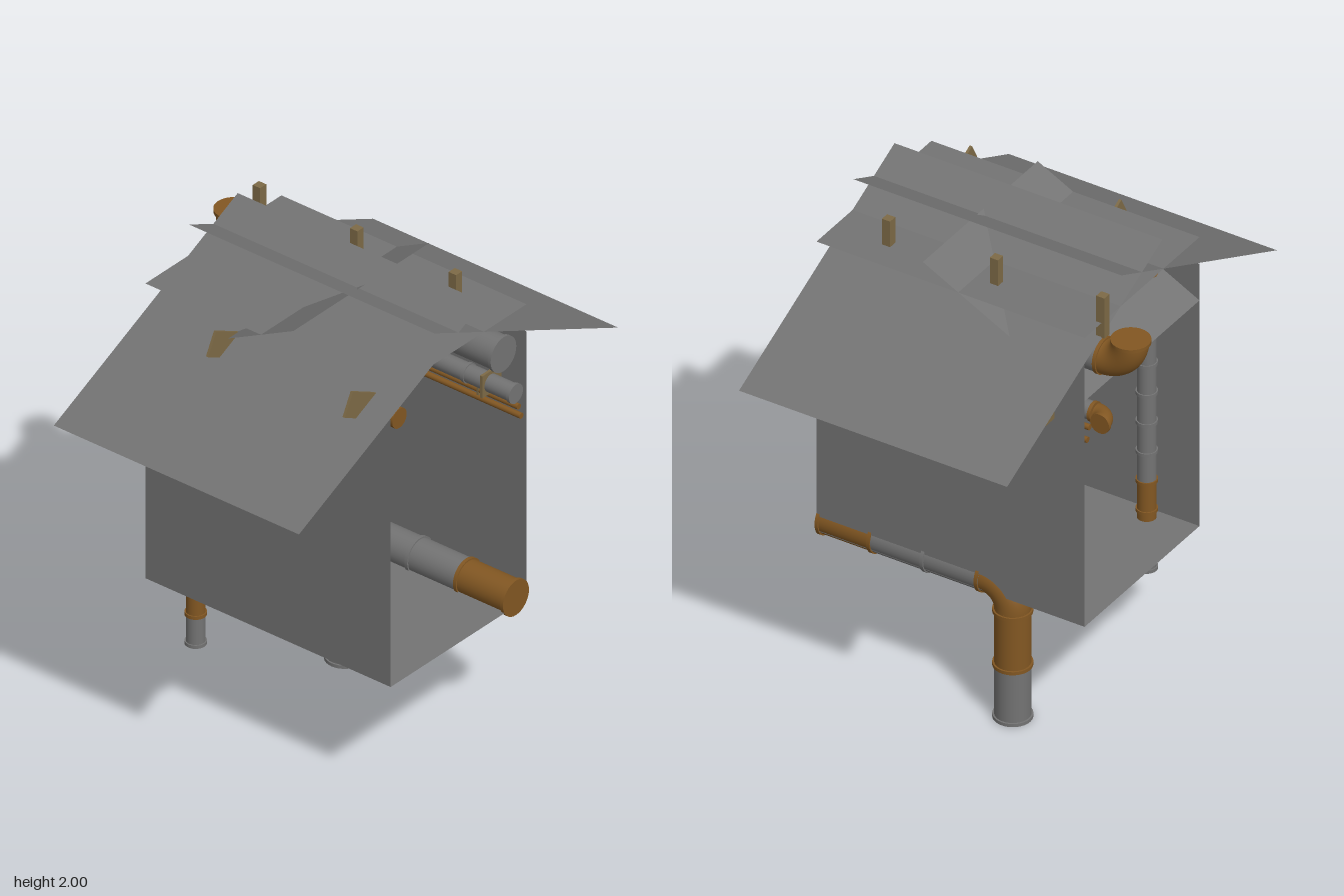
import * as THREE from 'three';

const grey = new THREE.MeshStandardMaterial({ color: 0x737373 });
grey.name = 'pipe grey';
const sheetGrey = new THREE.MeshStandardMaterial({ color: 0x737373, side: THREE.DoubleSide });
sheetGrey.name = 'sheet grey';
const brown = new THREE.MeshStandardMaterial({ color: 0x825722 });
brown.name = 'pipe brown';
const wood = new THREE.MeshStandardMaterial({ color: 0x7d6a46 });
wood.name = 'wood';

const V = (x, y, z) => new THREE.Vector3(x, y, z);
const UP = V(0, 1, 0);

// Quarter circle from centre + u*r to centre + v*r
class Bend extends THREE.Curve {
  constructor(center, u, v, r) {
    super();
    Object.assign(this, { center, u, v, r });
  }
  getPoint(t, target = V(0, 0, 0)) {
    const a = t * Math.PI / 2;
    return target.copy(this.center)
      .addScaledVector(this.u, this.r * Math.cos(a))
      .addScaledVector(this.v, this.r * Math.sin(a));
  }
}

export function createModel() {
  const model = new THREE.Group();
  model.name = 'pipeHouse';

  const add = (parent, name, geometry, material) => {
    const mesh = new THREE.Mesh(geometry, material);
    mesh.name = name;
    parent.add(mesh);
    return mesh;
  };
  const group = (name) => {
    const g = new THREE.Group();
    g.name = name;
    model.add(g);
    return g;
  };
  const rod = (parent, name, a, b, r, material) => {
    const d = b.clone().sub(a);
    const mesh = add(parent, name, new THREE.CylinderGeometry(r, r, d.length(), 32), material);
    mesh.position.copy(a).add(b).multiplyScalar(0.5);
    mesh.quaternion.setFromUnitVectors(UP, d.normalize());
  };
  // Raised collar around a pipe, centred on p and facing along dir
  const collar = (parent, p, dir, r, material) => {
    const half = dir.clone().multiplyScalar(0.007);
    rod(parent, 'collar', p.clone().sub(half), p.clone().add(half), r, material);
  };
  const elbow = (parent, center, u, v, bend, r) =>
    add(parent, 'elbow', new THREE.TubeGeometry(new Bend(center, u, v, bend), 14, r, 28), brown);
  const box = (parent, name, w, h, d, x, y, z, tilt = 0) => {
    const mesh = add(parent, name, new THREE.BoxGeometry(w, h, d), wood);
    mesh.position.set(x, y, z);
    mesh.rotation.z = tilt;
  };
  // Flat sheet spanned by a corner and two edge ends
  const sheet = (name, a, b, c) => {
    const d = b.clone().add(c).sub(a);
    const g = new THREE.BufferGeometry().setFromPoints([a, b, d, a, d, c]);
    g.computeVertexNormals();
    add(model, name, g, sheetGrey);
  };

  // House sheets: floor, walls, crossing roof slopes, ceilings
  const zb = -0.495, zf = 0.69, hw = 0.397, floorY = 0.565;
  sheet('floor', V(-hw, floorY, zb), V(-hw, floorY, zf), V(hw, floorY, zb));
  sheet('flatCeiling', V(-hw, 1.865, zb), V(-hw, 1.865, zf), V(hw, 1.865, zb));
  sheet('slopedCeiling', V(-hw, 1.58, zb), V(-hw, 1.945, 0.22), V(hw, 1.58, zb));
  for (const s of [-1, 1]) {
    sheet('wall', V(s * hw, floorY, zb), V(s * hw, floorY, zf), V(s * hw, 1.745, zb));
    sheet('roofSlope', V(s * 0.932, 1.5, zb), V(s * 0.932, 1.5, zf), V(-s * 0.142, 2, zb));
  }

  const Z = V(0, 0, 1), X = V(1, 0, 0), R = 0.07, r = 0.037;
  const mX = V(-1, 0, 0), mY = V(0, -1, 0), mZ = V(0, 0, -1);

  // Large floor drain: riser, elbow and run to the front
  const drain = group('floorDrain');
  const dx = 0.335, dz = -0.138;
  rod(drain, 'lowerRiser', V(dx, 0, dz), V(dx, 0.24, dz), R, grey);
  rod(drain, 'upperRiser', V(dx, 0.24, dz), V(dx, 0.49, dz), R, brown);
  collar(drain, V(dx, 0.007, dz), UP, 0.077, grey);
  for (const y of [0.24, 0.48]) collar(drain, V(dx, y, dz), UP, 0.077, brown);
  elbow(drain, V(dx, 0.49, -0.028), mZ, UP, 0.11, R);
  rod(drain, 'greyRun', V(dx, 0.6, -0.028), V(dx, 0.6, 0.455), R, grey);
  rod(drain, 'brownRun', V(dx, 0.6, 0.455), V(dx, 0.6, 0.69), R, brown);
  [-0.02, 0.22, 0.455, 0.683].forEach((z, i) =>
    collar(drain, V(dx, 0.6, z), Z, 0.076, i === 1 ? grey : brown));

  // Narrow downpipe with its run along the roof
  const down = group('downpipe');
  const px = -0.345, pz = -0.295, py = 1.725;
  rod(down, 'foot', V(px, 0.335, pz), V(px, 0.47, pz), r, grey);
  rod(down, 'brownSection', V(px, 0.47, pz), V(px, 0.735, pz), r, brown);
  rod(down, 'greySection', V(px, 0.735, pz), V(px, 1.66, pz), r, grey);
  collar(down, V(px, 0.342, pz), UP, 0.042, grey);
  for (let i = 0; i < 10; i++)
    collar(down, V(px, 0.47 + i * 0.1317, pz), UP, 0.042, i < 3 || i === 9 ? brown : grey);
  elbow(down, V(px, 1.66, -0.23), mZ, UP, 0.065, r);
  rod(down, 'rearRun', V(px, py, -0.23), V(px, py, -0.1), r, brown);
  rod(down, 'middleRun', V(px, py, -0.1), V(px, py, 0.07), r, grey);
  rod(down, 'frontRun', V(px, py, 0.07), V(px, py, zf), r, brown);
  for (const z of [-0.22, -0.1, 0.07, 0.25, 0.45, 0.683]) collar(down, V(px, py, z), Z, 0.042, brown);

  // Large vent under the roof, turning up at the back
  const vent = group('roofVent');
  rod(vent, 'run', V(0.262, 1.71, -0.49), V(0.262, 1.71, zf), R, grey);
  for (const z of [-0.25, 0, 0.23, 0.46, 0.683]) collar(vent, V(0.262, 1.71, z), Z, 0.075, grey);
  collar(vent, V(0.262, 1.71, -0.495), Z, 0.075, brown);
  elbow(vent, V(0.262, 1.82, -0.503), mY, mZ, 0.11, R);
  collar(vent, V(0.262, 1.82, -0.613), UP, 0.077, brown);

  // Small vent, turning sideways at the back
  const small = group('smallVent');
  rod(small, 'run', V(dx, 1.5, -0.49), V(dx, 1.5, zf), r, grey);
  for (const z of [-0.25, 0, 0.23, 0.46, 0.683]) collar(small, V(dx, 1.5, z), Z, 0.041, grey);
  collar(small, V(dx, 1.5, -0.497), Z, 0.041, brown);
  elbow(small, V(0.385, 1.5, -0.51), mX, mZ, 0.05, r);
  collar(small, V(0.388, 1.5, -0.56), X, 0.042, brown);

  // Thin supply pipes
  rod(model, 'supplyPipe', V(0.352, 1.435, -0.49), V(0.352, 1.435, zf), 0.012, brown);
  rod(model, 'supplyPipe', V(0.367, 1.387, -0.49), V(0.367, 1.387, zf), 0.012, brown);

  // Wooden hangers and brackets
  const timber = group('timber');
  for (const z of [0.457, -0.02, -0.49]) box(timber, 'hanger', 0.036, 0.18, 0.036, 0.263, 1.89, z);
  for (const z of [0.56, -0.1]) box(timber, 'tiltedBracket', 0.215, 0.103, 0.011, -0.395, 1.755, z, -0.48);
  for (const z of [0.563, -0.357]) box(timber, 'largeBracket', 0.22, 0.097, 0.011, 0.395, 1.503, z);
  for (const z of [0.5, -0.1]) box(timber, 'middleBracket', 0.1, 0.04, 0.011, 0.39, 1.435, z);
  box(timber, 'lowBracket', 0.1, 0.037, 0.011, 0.41, 1.387, 0.1);

  return model;
}
